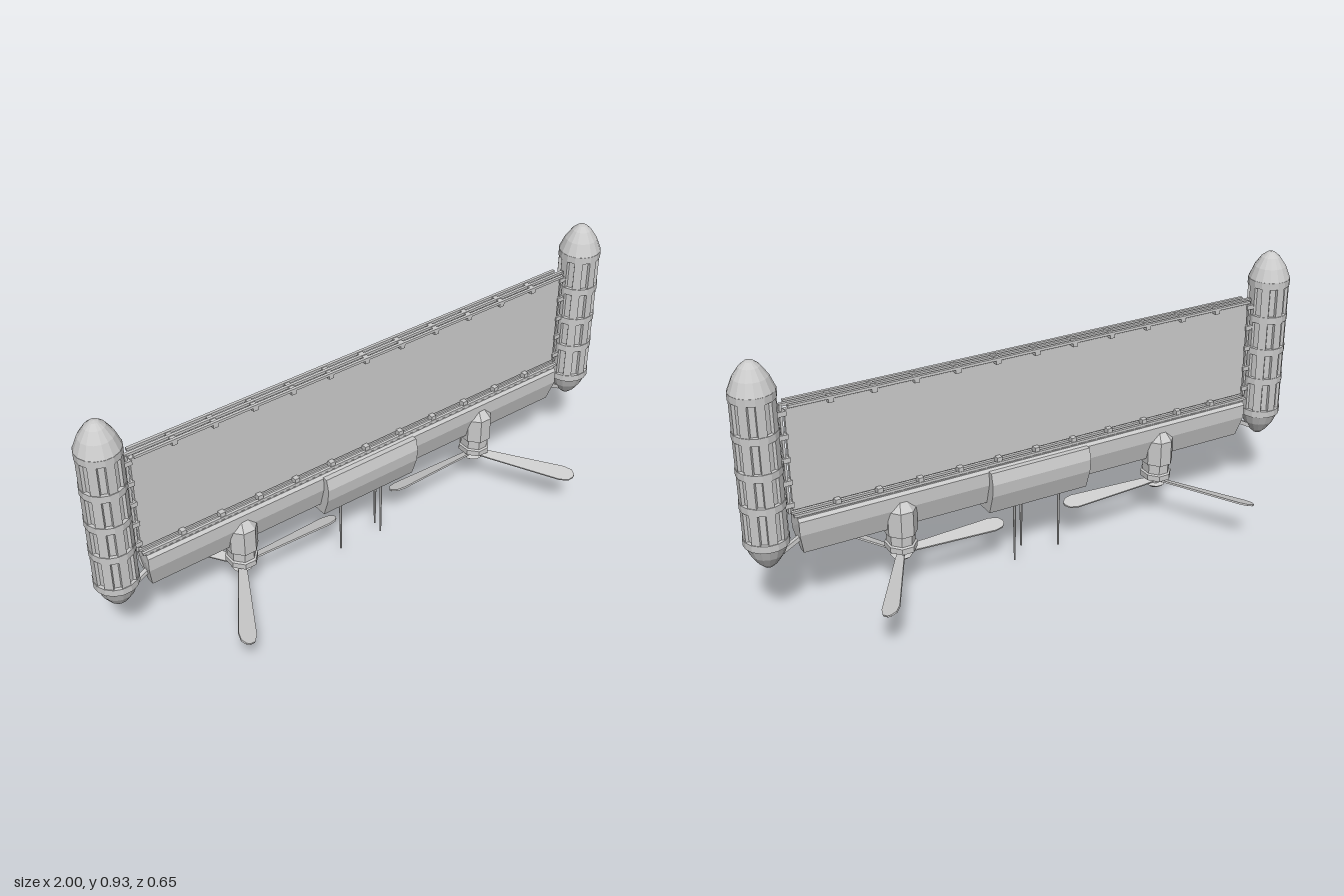
import * as THREE from 'three';

const grey = new THREE.MeshStandardMaterial({ color: 0xcccccc, flatShading: true, side: THREE.DoubleSide });

export function createModel() {
  const model = new THREE.Group();

  const add = (parent, name, geometry, x = 0, y = 0, z = 0) => {
    const mesh = new THREE.Mesh(geometry, grey);
    mesh.name = name;
    mesh.position.set(x, y, z);
    parent.add(mesh);
    return mesh;
  };
  const box = (parent, name, w, h, d, x, y, z) => add(parent, name, new THREE.BoxGeometry(w, h, d), x, y, z);
  const group = (name, x = 0, y = 0, z = 0) => {
    const g = new THREE.Group();
    g.name = name;
    g.position.set(x, y, z);
    model.add(g);
    return g;
  };
  // Faceted body of revolution from [radius, height] pairs
  const turned = (profile, sides) => new THREE.LatheGeometry(
    profile.map(([r, y]) => new THREE.Vector2(r, y)), sides, Math.PI / sides);
  // Prism along x from half a cross-section of [z, y] pairs, mirrored front to back
  const prism = (half, length) => {
    const outline = [...half, ...half.slice().reverse().map(([z, y]) => [-z, y])];
    const shape = new THREE.Shape(outline.map(([z, y]) => new THREE.Vector2(-z, y)));
    const g = new THREE.ExtrudeGeometry(shape, { depth: length, bevelEnabled: false });
    return g.translate(0, 0, -length / 2).rotateY(Math.PI / 2);
  };

  // Flat main panel with its frame of rails and clips
  const panel = group('mainPanel');
  box(panel, 'panelSheet', 1.68, 0.34, 0.014, 0, 0.585, 0);
  for (const z of [-0.022, 0, 0.022]) {
    box(panel, 'topRail', z ? 1.67 : 1.71, 0.009, 0.01, 0, 0.77, z);
    box(panel, 'bottomRail', 1.69, 0.009, 0.01, 0, 0.403, z);
  }
  for (let i = -5; i <= 5; i++) {
    box(panel, 'topClip', 0.018, 0.02, 0.05, i * 0.14, 0.762, 0);
    box(panel, 'bottomClip', 0.018, 0.02, 0.05, i * 0.14, 0.412, 0);
  }
  for (const s of [-1, 1]) {
    box(panel, 'sideRail', 0.008, 0.365, 0.012, s * 0.851, 0.587, 0);
    for (let i = 0; i < 5; i++) box(panel, 'sideClip', 0.03, 0.016, 0.024, s * 0.851, 0.435 + i * 0.077, 0);
  }

  // Long keel beam, its lower ends cut back
  const keel = prism([[0.014, 0.262], [0.034, 0.335], [0.034, 0.382], [0.018, 0.4]], 1.67);
  const p = keel.attributes.position;
  for (let i = 0; i < p.count; i++) {
    if (p.getY(i) < 0.3) p.setX(i, p.getX(i) * 0.982);
  }
  keel.computeVertexNormals();
  add(model, 'keelBeam', keel);
  box(model, 'keelLedge', 1.67, 0.014, 0.05, 0, 0.389, 0);

  // Central cabin
  add(model, 'cabin', prism([[0.032, 0.23], [0.056, 0.3], [0.06, 0.345], [0.05, 0.385]], 0.37));

  // Antennas hanging below the cabin
  for (const [x, bottom] of [[-0.095, 0.01], [0.05, 0.05], [0.075, 0]]) {
    const length = 0.25 - bottom;
    add(model, 'antenna', new THREE.CylinderGeometry(0.0055, 0.003, length, 6), x, bottom + length / 2, 0);
  }

  // Propeller blade outline
  const bladeShape = new THREE.Shape([
    [0.015, -0.012], [0.06, -0.016], [0.33, -0.029], [0.36, -0.022], [0.372, -0.006],
    [0.372, 0.006], [0.36, 0.022], [0.33, 0.029], [0.06, 0.016], [0.015, 0.012],
  ].map(([x, y]) => new THREE.Vector2(x, y)));

  for (const s of [-1, 1]) {
    // Side tank: core, domes, ribs and hoops
    const tank = group(s > 0 ? 'leftTank' : 'rightTank', s * 0.93, 0, 0);
    add(tank, 'tankBody', turned([[0.064, 0.33], [0.064, 0.84]], 8)).rotation.y = Math.PI / 8;
    add(tank, 'topDome', turned([[0.071, 0.838], [0.054, 0.88], [0.032, 0.912], [0.014, 0.927], [0, 0.93]], 16));
    add(tank, 'bottomDome', turned([[0, 0.24], [0.014, 0.243], [0.032, 0.26], [0.054, 0.293], [0.071, 0.335]], 16));
    for (let i = 0; i < 8; i++) {
      const rib = box(tank, 'tankRib', 0.028, 0.5, 0.012, 0, 0.585, 0);
      rib.rotation.y = i * Math.PI / 4;
      rib.translateZ(0.0625);
    }
    for (const y of [0.34, 0.467, 0.58, 0.7, 0.826]) {
      add(tank, 'tankHoop', turned([[0.06, -0.012], [0.072, -0.012], [0.072, 0.012], [0.06, 0.012]], 16), 0, y, 0);
    }

    // Strut from keel to tank
    const strut = box(model, 'tankStrut', 0.09, 0.014, 0.014, s * 0.85, 0.298, 0);
    strut.rotation.z = -s * 0.5;

    // Engine pod
    const pod = group(s > 0 ? 'leftEngine' : 'rightEngine', s * 0.49, 0, 0);
    add(pod, 'enginePod', turned([
      [0, 0.18], [0.06, 0.18], [0.06, 0.2], [0.053, 0.204], [0.053, 0.238],
      [0.064, 0.242], [0.064, 0.33], [0.035, 0.36], [0, 0.36],
    ], 8)).scale.x = 0.86;

    // Hub and three pitched blades, mirrored in spin direction
    add(pod, 'propellerHub', turned([[0, 0.138], [0.02, 0.138], [0.036, 0.15], [0.02, 0.155], [0.02, 0.182]], 8));
    for (let i = 0; i < 3; i++) {
      const blade = new THREE.ExtrudeGeometry(bladeShape, { depth: 0.006, bevelEnabled: false });
      blade.translate(0, 0, -0.003).rotateX(Math.PI / 2 + s * 0.3);
      const angle = Math.PI / 3 + i * Math.PI * 2 / 3;
      add(pod, 'propellerBlade', blade, 0, 0.163, 0).rotation.y = s > 0 ? -angle : angle - Math.PI;
    }
  }

  return model;
}
